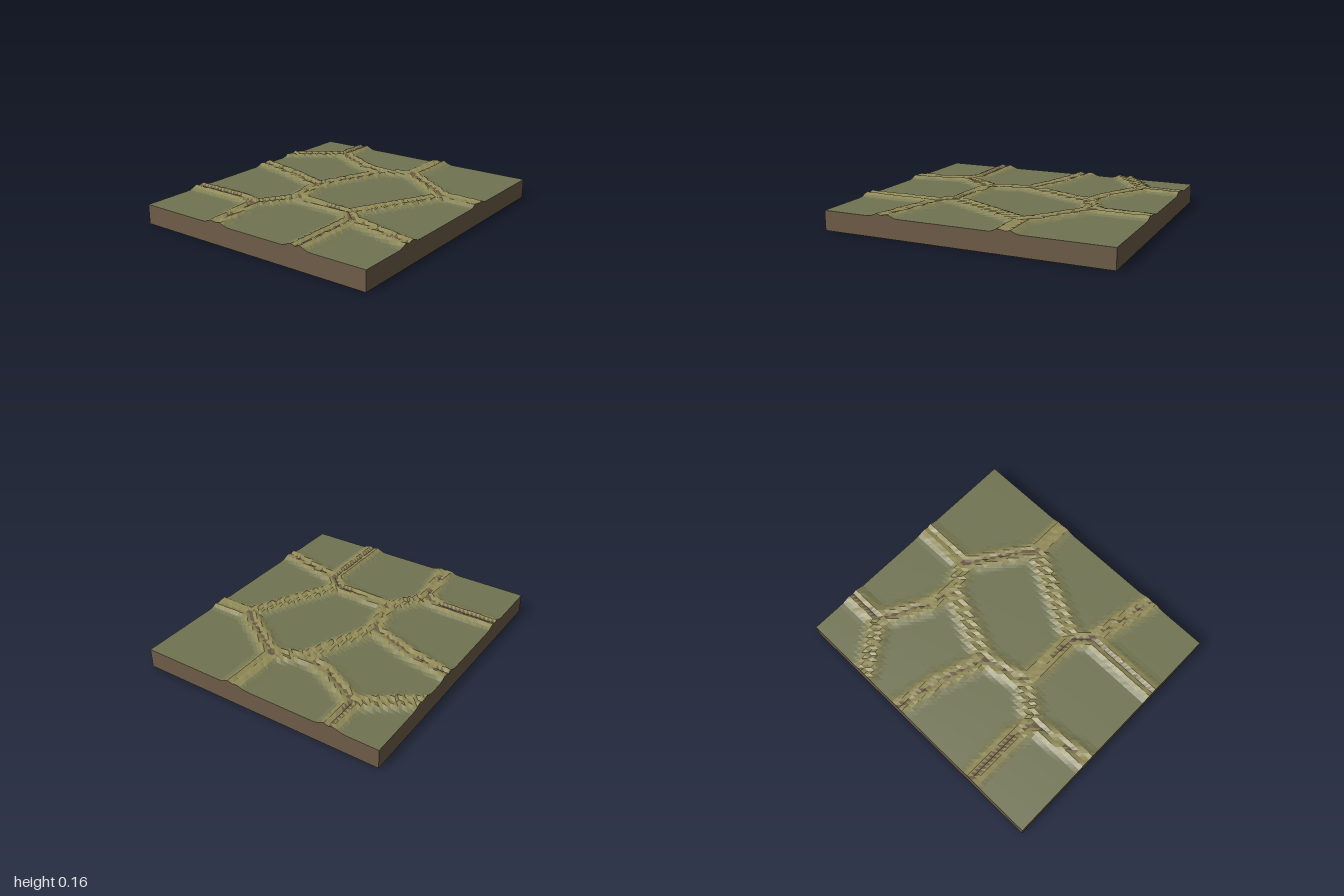
import * as THREE from 'three';

const W = 2, D = 1.78, NX = 64, NZ = 56, BASE = 0.137;

// Centre lines of the raised verges, as [x, z] points
const paths = [
  [[-0.53, -0.9], [-0.53, -0.5], [-0.57, -0.33], [-1.02, -0.26]],
  [[-0.57, -0.33], [-0.32, -0.16], [-0.02, -0.23], [0.1, -0.57], [0.17, -0.9]],
  [[-0.02, -0.23], [0.51, -0.02], [0.55, -0.22], [0.73, -0.54], [1.02, -0.545]],
  [[0.73, -0.54], [0.48, -0.9]],
  [[0.51, -0.02], [0.6, 0.18], [1.02, 0.185]],
  [[0.6, 0.18], [0.3, 0.62], [0.3, 0.9]],
  [[0.3, 0.62], [-0.35, 0.29], [-0.32, -0.16]],
  [[-0.35, 0.29], [-0.44, 0.385], [-1.02, 0.385]],
  [[-0.44, 0.385], [-0.56, 0.9]],
];

function distance(x, z) {
  let best = Infinity;
  for (const path of paths) {
    for (let i = 1; i < path.length; i++) {
      const [ax, az] = path[i - 1], dx = path[i][0] - ax, dz = path[i][1] - az;
      const t = THREE.MathUtils.clamp(((x - ax) * dx + (z - az) * dz) / (dx * dx + dz * dz), 0, 1);
      best = Math.min(best, Math.hypot(x - ax - t * dx, z - az - t * dz));
    }
  }
  return best;
}

// Repeatable value from 0 to 1 for each grid point
function noise(i, j) {
  const s = Math.sin(i * 127.1 + j * 311.7) * 43758.5453;
  return s - Math.floor(s);
}

// Cross-section of a verge: shallow central groove, raised lip, soft outer slope
const section = [[0, 0.012], [0.012, 0.014], [0.03, 0.025], [0.045, 0.023], [0.075, 0.006], [0.1, 0]];
function rise(d) {
  for (let i = 1; i < section.length; i++) {
    const [d0, h0] = section[i - 1], [d1, h1] = section[i];
    if (d < d1) return h0 + (h1 - h0) * (d - d0) / (d1 - d0);
  }
  return 0;
}

function makeMesh(name, positions, color) {
  const geometry = new THREE.BufferGeometry();
  geometry.setAttribute('position', new THREE.Float32BufferAttribute(positions, 3));
  geometry.computeVertexNormals();
  const mesh = new THREE.Mesh(geometry, new THREE.MeshStandardMaterial({ color, flatShading: true }));
  mesh.name = name;
  return mesh;
}

export function createModel() {
  const group = new THREE.Group();
  group.name = 'groundTile';

  // Height field
  const grid = [];
  for (let j = 0; j <= NZ; j++) {
    for (let i = 0; i <= NX; i++) {
      const x = (i / NX - 0.5) * W, z = (j / NZ - 0.5) * D, d = distance(x, z);
      const h = rise(d);
      const y = BASE + h + (h > 0.01 ? (noise(i, j) - 0.5) * 0.005 : 0);
      grid.push({ x, y, z, d });
    }
  }
  const at = (i, j) => grid[j * (NX + 1) + i];
  const push = (list, ...points) => points.forEach((p) => list.push(p.x, p.y, p.z));

  // Surface triangles sorted into colour bands by distance from a verge line
  const bands = [
    { name: 'grooveSoil', limit: 0.012, color: 0x6b5b45, data: [] },
    { name: 'vergeLip', limit: 0.055, color: 0x918a58, data: [] },
    { name: 'vergeSlope', limit: 0.075, color: 0x838157, data: [] },
    { name: 'vergeEdge', limit: 0.095, color: 0x787954, data: [] },
    { name: 'grass', limit: Infinity, color: 0x707351, data: [] },
  ];
  const addFace = (a, b, c) => {
    const d = (a.d + b.d + c.d) / 3;
    push(bands.find((band) => d < band.limit).data, a, b, c);
  };
  for (let j = 0; j < NZ; j++) {
    for (let i = 0; i < NX; i++) {
      const a = at(i, j), b = at(i, j + 1), c = at(i + 1, j + 1), e = at(i + 1, j);
      addFace(a, b, e);
      addFace(b, c, e);
    }
  }
  for (const band of bands) group.add(makeMesh(band.name, band.data, band.color));

  // Earth walls follow the surface around the rim
  const rim = [];
  for (let i = 0; i < NX; i++) rim.push(at(i, NZ));
  for (let j = NZ; j > 0; j--) rim.push(at(NX, j));
  for (let i = NX; i > 0; i--) rim.push(at(i, 0));
  for (let j = 0; j < NZ; j++) rim.push(at(0, j));
  const walls = [];
  rim.forEach((p, k) => {
    const q = rim[(k + 1) % rim.length];
    const p0 = { x: p.x, y: 0, z: p.z }, q0 = { x: q.x, y: 0, z: q.z };
    push(walls, p0, q0, q, p0, q, p);
  });
  group.add(makeMesh('earthWalls', walls, 0x6e5c48));

  // Underside
  const underside = new THREE.Mesh(
    new THREE.PlaneGeometry(W, D).rotateX(Math.PI / 2),
    new THREE.MeshStandardMaterial({ color: 0x6e5c48 })
  );
  underside.name = 'underside';
  group.add(underside);

  return group;
}
